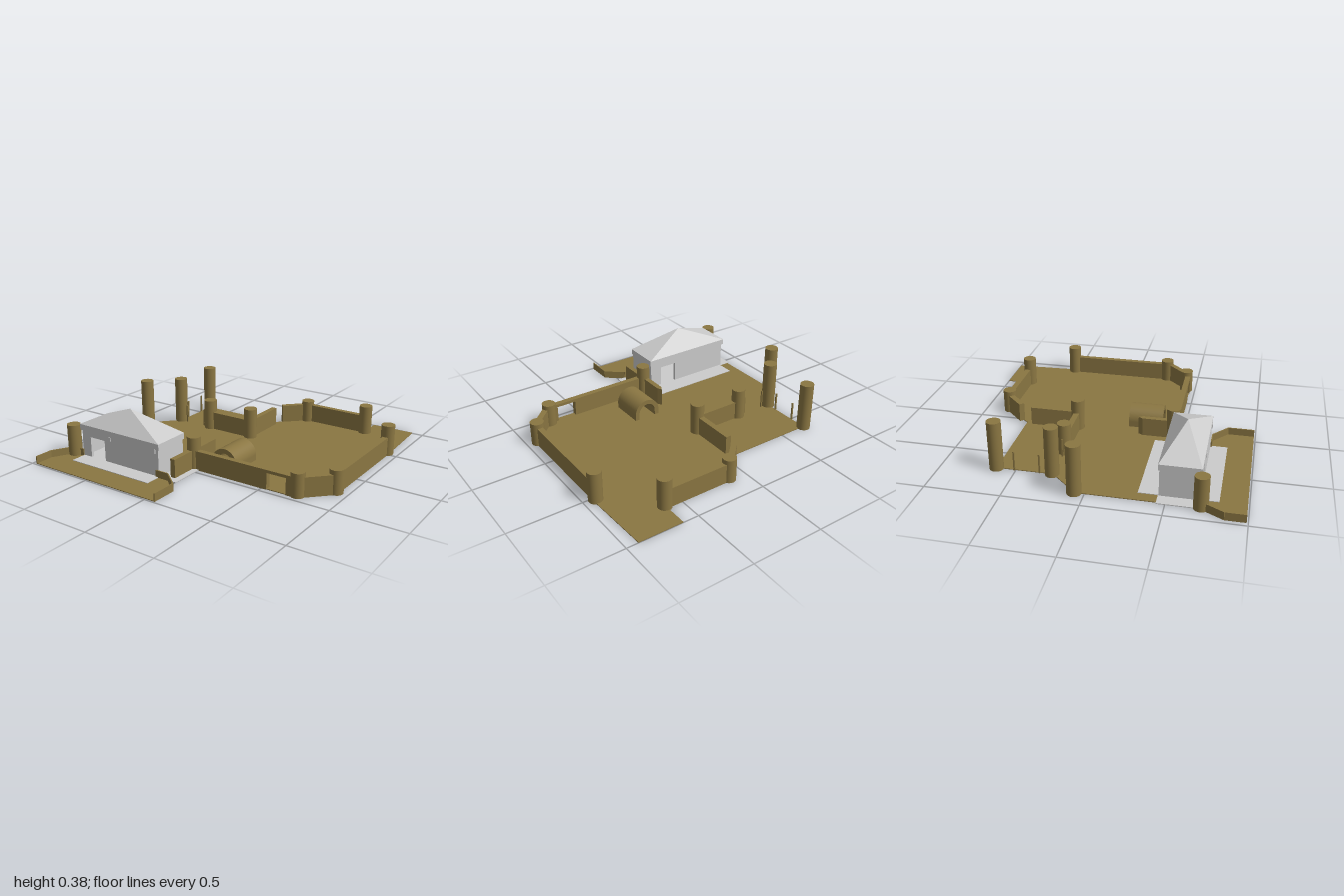
import * as THREE from 'three';

const earth = new THREE.MeshStandardMaterial({ color: 0x8a7642 });
const grey = new THREE.MeshStandardMaterial({ color: 0xcccccc });
const greyFlat = new THREE.MeshStandardMaterial({ color: 0xcccccc, flatShading: true });

const WALL = 0.135, THICK = 0.04;

export function createModel() {
  const model = new THREE.Group();

  const add = (name, geometry, material = earth, parent = model) => {
    const mesh = new THREE.Mesh(geometry, material);
    mesh.name = name;
    parent.add(mesh);
    return mesh;
  };

  // Box given by its extents
  const block = (name, x0, x1, y0, y1, z0, z1, material, parent) => {
    const g = new THREE.BoxGeometry(x1 - x0, y1 - y0, z1 - z0);
    g.translate((x0 + x1) / 2, (y0 + y1) / 2, (z0 + z1) / 2);
    return add(name, g, material, parent);
  };

  // Plan outline [x, z] raised from the ground to a height
  const slab = (name, outline, height) => {
    const shape = new THREE.Shape(outline.map(([x, z]) => new THREE.Vector2(x, z)));
    const g = new THREE.ExtrudeGeometry(shape, { depth: height, bevelEnabled: false });
    g.rotateX(Math.PI / 2).translate(0, height, 0);
    return add(name, g);
  };

  // Straight wall between two plan points
  const wall = (name, [x0, z0], [x1, z1], height = WALL, thick = THICK, base = 0) => {
    const g = new THREE.BoxGeometry(Math.hypot(x1 - x0, z1 - z0), height - base, thick);
    g.rotateY(-Math.atan2(z1 - z0, x1 - x0));
    g.translate((x0 + x1) / 2, (height + base) / 2, (z0 + z1) / 2);
    return add(name, g);
  };

  // Ground
  slab('ground', [
    [-0.695, -0.63], [-0.05, -0.63], [0.12, -0.84], [0.61, -0.84], [0.61, -1], [0.92, -1],
    [0.94, -0.5], [0.94, 0.28], [0.76, 0.46], [-0.05, 0.46], [-0.05, 0.71], [0.07, 0.81],
    [0.07, 0.99], [-0.97, 0.99], [-0.97, 0.86], [-0.875, 0.71], [-0.875, -0.06], [-0.695, -0.25],
  ], 0.005);

  // Round towers: x, z, height
  [
    [-0.695, -0.63, 0.345], [-0.695, -0.255, 0.345], [-0.875, -0.065, 0.345],
    [-0.875, 0.715, 0.225], [-0.047, 0.435, 0.225], [-0.41, -0.25, 0.225], [-0.047, -0.25, 0.225],
    [0.615, -0.815, 0.215], [0.92, -0.52, 0.215],
    [0.125, -0.815, 0.165], [0.92, 0.255, 0.165], [0.745, 0.43, 0.165],
  ].forEach(([x, z, h]) => {
    add('tower', new THREE.CylinderGeometry(0.047, 0.047, h, 32)).position.set(x, h / 2, z);
  });

  // Outer walls, the front one with a gateway
  wall('frontWall', [-0.05, 0.445], [0.54, 0.445]);
  wall('gateLintel', [0.54, 0.445], [0.68, 0.445], WALL, THICK, 0.115);
  wall('frontWallEnd', [0.68, 0.445], [0.76, 0.445]);
  wall('cornerWall', [0.755, 0.44], [0.925, 0.27]);
  wall('sideWall', [0.92, 0.26], [0.92, -0.52]);
  wall('backWall', [0.125, -0.82], [0.615, -0.82]);
  wall('diagonalBackWall', [0.12, -0.82], [-0.025, -0.675]);

  // Inner walls
  wall('innerWall', [-0.41, -0.25], [-0.05, -0.25]);
  wall('innerCrossWall', [-0.05, -0.25], [-0.05, -0.59]);
  slab('pointedWall', [
    [-0.05, 0.19], [-0.032, 0.22], [-0.032, 0.66], [-0.068, 0.66], [-0.068, 0.22],
  ], WALL);

  // Low walls around the forecourt
  const lowPaths = [
    [[0.07, 0.99], [0.07, 0.81], [-0.05, 0.71], [-0.15, 0.71]],
    [[-0.967, 0.99], [-0.967, 0.86], [-0.885, 0.71], [-0.8, 0.71]],
  ];
  for (const path of lowPaths)
    for (let i = 0; i < path.length - 1; i++) wall('forecourtWall', path[i], path[i + 1], 0.055, 0.008);

  // Slim gate posts
  [[-0.695, -0.51], [-0.695, -0.34], [-0.635, -0.25], [-0.47, -0.25]].forEach(([x, z]) =>
    block('gatePost', x - 0.005, x + 0.005, 0, WALL, z - 0.005, z + 0.005));

  // Vaulted shelter, open along its length
  const vault = new THREE.Shape();
  vault.moveTo(0.097, 0).lineTo(0.097, 0.045);
  vault.absarc(0, 0.045, 0.097, 0, Math.PI, false);
  vault.lineTo(-0.097, 0).lineTo(-0.065, 0).lineTo(-0.065, 0.045);
  vault.absarc(0, 0.045, 0.065, Math.PI, 0, true);
  vault.lineTo(0.065, 0);
  add('vaultedShelter', new THREE.ExtrudeGeometry(vault, { depth: 0.24, bevelEnabled: false, curveSegments: 24 }))
    .position.set(0.135, 0, 0.105);

  // House with paving, doorways on both long sides, eaves and hipped roof
  const house = new THREE.Group();
  house.name = 'house';
  model.add(house);
  block('frontBackPaving', -0.8, -0.13, 0.002, 0.009, 0.32, 0.82, grey, house);
  block('sidePaving', -0.89, 0.01, 0.001, 0.007, 0.445, 0.71, grey, house);

  const longWall = (name, door0, door1, z) => {
    const s = new THREE.Shape();
    [[-0.805, 0], [door0, 0], [door0, 0.155], [door1, 0.155], [door1, 0], [-0.13, 0], [-0.13, 0.195], [-0.805, 0.195]]
      .forEach(([x, y], i) => (i ? s.lineTo(x, y) : s.moveTo(x, y)));
    add(name, new THREE.ExtrudeGeometry(s, { depth: 0.02, bevelEnabled: false }), grey, house).position.z = z;
  };
  longWall('houseFrontWall', -0.73, -0.6, 0.685);
  longWall('houseBackWall', -0.35, -0.22, 0.45);
  block('houseRightWall', -0.805, -0.785, 0, 0.195, 0.47, 0.685, grey, house);
  block('houseLeftWall', -0.15, -0.13, 0, 0.195, 0.47, 0.685, grey, house);
  block('eaves', -0.82, -0.122, 0.193, 0.235, 0.443, 0.71, grey, house);

  const roof = new THREE.ConeGeometry(Math.SQRT1_2, 1, 4);
  roof.rotateY(Math.PI / 4).scale(0.698, 0.14, 0.267).translate(-0.471, 0.305, 0.5765);
  add('hippedRoof', roof, greyFlat, house);

  // Small brackets under the front eaves
  for (const x of [-0.55, -0.16])
    block('bracket', x - 0.008, x + 0.008, 0.165, 0.195, 0.703, 0.713, grey, house);

  return model;
}
